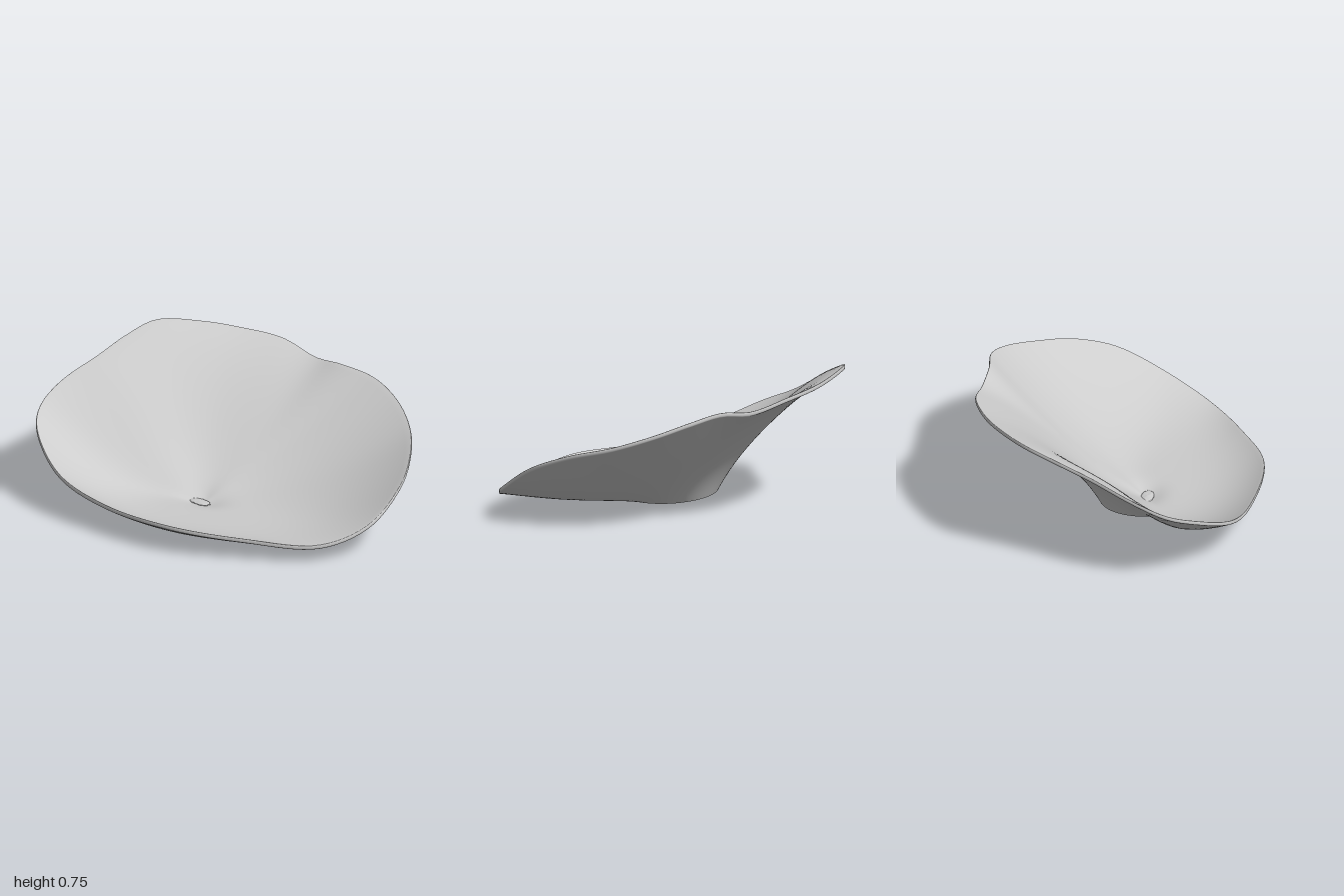
import * as THREE from 'three';

// rim of the tilted, wavy dish: x, y, z going counterclockwise seen from above
const RIM = [
  [1, 0.47, 0.15], [0.96, 0.54, -0.08], [0.86, 0.60, -0.26], [0.7, 0.63, -0.4], [0.58, 0.62, -0.54],
  [0.42, 0.675, -0.71], [0.2, 0.705, -0.82], [0, 0.73, -0.875], [-0.25, 0.745, -0.895], [-0.42, 0.70, -0.82],
  [-0.6, 0.63, -0.71], [-0.82, 0.54, -0.59], [-0.95, 0.46, -0.46], [-0.995, 0.39, -0.29], [-0.92, 0.25, 0.03],
  [-0.72, 0.18, 0.32], [-0.4, 0.165, 0.65], [-0.02, 0.13, 0.8], [0.4, 0.105, 0.89], [0.68, 0.18, 0.82],
  [0.88, 0.32, 0.63], [0.97, 0.41, 0.4],
];
const N = 128, CX = -0.13, CY = 0.042, CZ = 0.05, FOOT = 0.26;
const { smoothstep, lerp } = THREE.MathUtils;

// skin over closed rows of N points
function loft(rows) {
  const index = [];
  for (let j = 0; j < rows.length - 1; j++)
    for (let i = 0; i < N; i++) {
      const k = (i + 1) % N, a = j * N + i, b = j * N + k;
      index.push(a, b, a + N, b, b + N, a + N);
    }
  const g = new THREE.BufferGeometry();
  g.setAttribute('position', new THREE.Float32BufferAttribute(rows.flat().flatMap(p => p.toArray()), 3));
  g.setIndex(index);
  g.computeVertexNormals();
  return g;
}

// closed loop with its waves averaged out
function smoothLoop(points, width) {
  return points.map((_, i) => {
    const sum = new THREE.Vector3();
    let total = 0;
    for (let k = -2 * width; k <= 2 * width; k++) {
      const w = Math.exp(-2 * (k / width) ** 2);
      sum.addScaledVector(points[(i + k + N) % N], w);
      total += w;
    }
    return sum.divideScalar(total);
  });
}

const curve = new THREE.CatmullRomCurve3(RIM.map(p => new THREE.Vector3(...p)), true, 'centripetal');
const rim = curve.getSpacedPoints(N).slice(0, N);
const calm = smoothLoop(rim, 12);
const radius = calm.map(p => Math.hypot(p.x - CX, p.z - CZ));

// point on the middle of the shell, from the centre (t = 0) to rim point i (t = 1):
// the rim's waves fade inwards; the back flares, the low front curls up late
function shell(i, t) {
  const c = calm[i], p = c.clone().lerp(rim[i], t ** 3);
  const flare = 0.55 * smoothstep((CZ - c.z) / radius[i], 0.3, 0.95);
  const power = 1.3 + 4.8 * (1 - c.y / 0.72) ** 2;
  const h = lerp(Math.pow(t, power), smoothstep(t, 0, 1), flare);
  return new THREE.Vector3(lerp(CX, p.x, t), lerp(CY, p.y - 0.012, h), lerp(CZ, p.z, t));
}

export function createModel() {
  const group = new THREE.Group();
  const grey = new THREE.MeshStandardMaterial({ color: 0xcccccc, side: THREE.DoubleSide });
  grey.name = 'pale grey';

  // tilted round foot below the dish
  const foot = calm.map((p, i) => {
    const dx = FOOT * (p.x - CX) / radius[i], dz = FOOT * (p.z - CZ) / radius[i];
    return new THREE.Vector3(CX + dx, 0.029 - 0.1 * dx - 0.04 * dz, CZ + dz);
  });

  // underside, drawn down to the foot
  const outer = s => foot.map((f, i) => {
    const t0 = FOOT / radius[i], q = shell(i, lerp(t0, 1, s));
    q.addScaledVector(f.clone().sub(shell(i, t0)), (1 - s) ** 6);
    q.y -= lerp(0.02, 0.012, s) * (1 - (1 - s) ** 6);
    return q;
  });
  // upper side, with a small dimple at the centre
  const inner = t => rim.map((_, i) => {
    const q = shell(i, t);
    const dx = q.x - CX, dz = q.z - CZ, u = (dx + dz) / Math.SQRT2, v = (dx - dz) / Math.SQRT2;
    q.y += lerp(0.02, 0.012, t) - 0.028 * Math.exp(-(u * u) / 0.014 - (v * v) / 0.007);
    return q;
  });
  // rounded lip
  const lip = a => rim.map((p, i) => {
    const q = shell(i, 1);
    q.x += (p.x - CX) * 0.005 * Math.cos(a);
    q.z += (p.z - CZ) * 0.005 * Math.cos(a);
    q.y += 0.012 * Math.sin(a);
    return q;
  });

  const rows = [];
  for (let j = 0; j <= 28; j++) rows.push(outer(j / 28));
  for (let j = 1; j < 6; j++) rows.push(lip(-Math.PI / 2 + Math.PI * j / 6));
  for (let j = 40; j >= 0; j--) rows.push(inner(j / 40));
  const dish = new THREE.Mesh(loft(rows), grey);
  dish.name = 'dish';

  // slightly hollow cap closing the underside
  const cap = [0, 0.15, 0.4, 0.7, 1].map(s => foot.map(f => {
    const q = new THREE.Vector3(CX, 0.029, CZ).lerp(f, s);
    q.y += 0.003 * (1 - s);
    return q;
  }));
  const footCap = new THREE.Mesh(loft(cap), grey);
  footCap.name = 'footCap';

  // crumpled nub in the dimple
  const nubShape = new THREE.SphereGeometry(1, 16, 10);
  const pos = nubShape.attributes.position;
  for (let i = 0; i < pos.count; i++) {
    const x = pos.getX(i), y = pos.getY(i), z = pos.getZ(i);
    const k = 1 + 0.15 * Math.sin(7 * x + 3 * y) * Math.cos(6 * z);
    pos.setXYZ(i, x * k * 0.07, y * k * 0.01, z * k * 0.035);
  }
  nubShape.computeVertexNormals();
  const nub = new THREE.Mesh(nubShape, grey);
  nub.name = 'centreNub';
  nub.position.set(-0.145, 0.042, 0.04);
  nub.rotation.y = -Math.PI / 4;

  group.add(dish, footCap, nub);
  return group;
}
